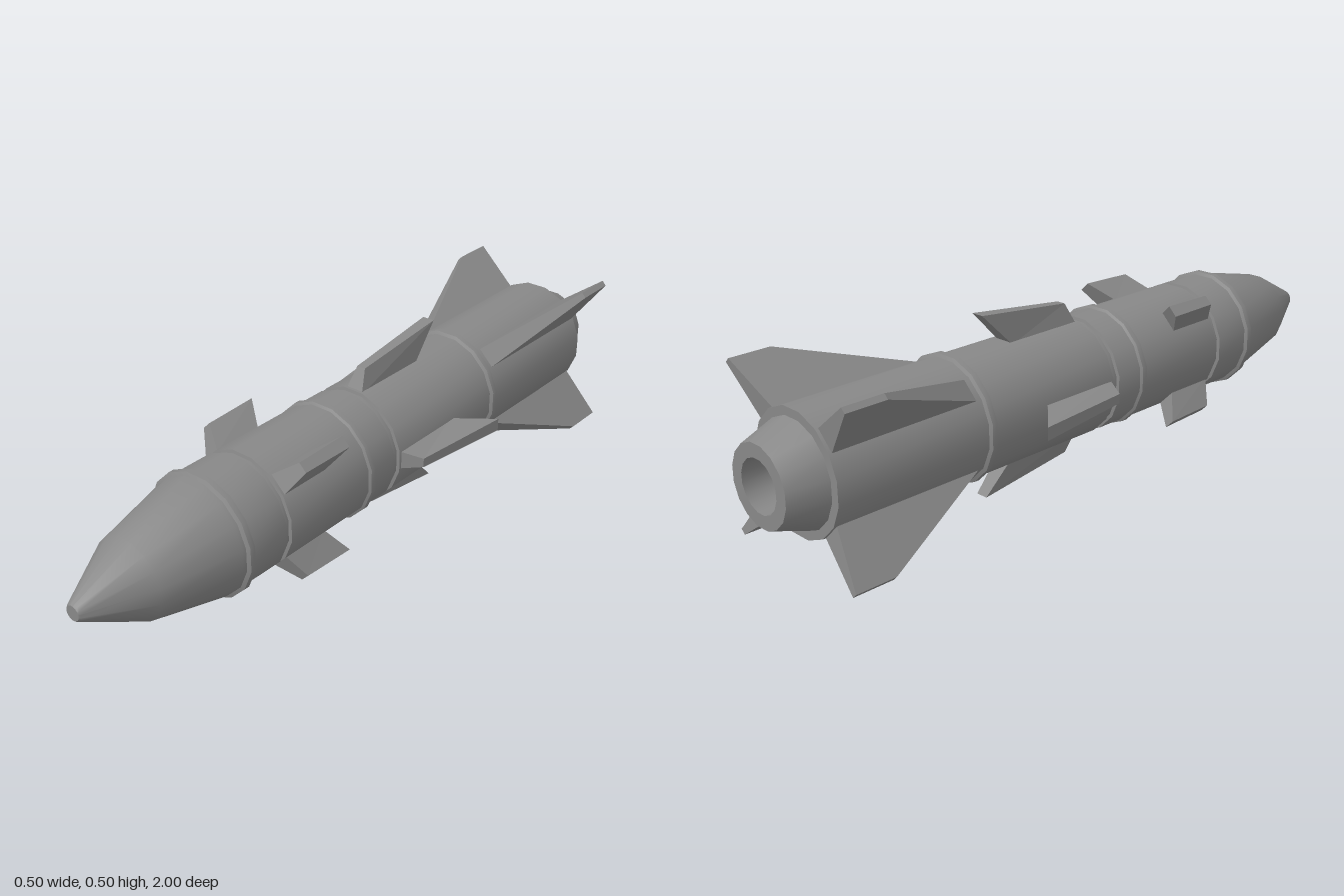
import * as THREE from 'three';
import { toCreasedNormals } from 'three/addons/utils/BufferGeometryUtils.js';

const SIDES = 16;
const AXIS_Y = 0.2525;
const BODY_R = 0.165;

export function createModel() {
  const model = new THREE.Group();
  model.name = 'missile';
  const grey = new THREE.MeshStandardMaterial({ color: 0x888888 });
  grey.name = 'body grey';

  const add = (name, geometry, angle = 0) => {
    const mesh = new THREE.Mesh(geometry, grey);
    mesh.name = name;
    mesh.position.y = AXIS_Y;
    mesh.rotation.z = angle;
    model.add(mesh);
  };

  // Turned part along z, with a flat facet on top; profile is [radius, z] from rear to front
  const turned = (name, profile) => {
    const points = profile.map(([r, z]) => new THREE.Vector2(r, z));
    const geometry = new THREE.LatheGeometry(points, SIDES, Math.PI / SIDES);
    geometry.rotateX(Math.PI / 2);
    add(name, toCreasedNormals(geometry, 0.47));
  };

  // Nozzle with recessed bore
  turned('nozzle', [
    [0, -0.9], [0.066, -0.9], [0.07, -1], [0.107, -1], [0.143, -0.895],
  ]);

  // Main tube, narrowed at two joints
  turned('bodyTube', [
    [0, -0.9], [BODY_R, -0.9], [BODY_R, 0.005], [0.156, 0.007],
    [0.156, 0.026], [BODY_R, 0.028], [BODY_R, 0.438], [0.156, 0.44],
    [0.156, 0.455], [BODY_R, 0.457], [BODY_R, 0.59],
  ]);

  // Nose cone with a small flat tip
  turned('noseCone', [
    [BODY_R, 0.59], [0.163, 0.61], [0.113, 0.83], [0.025, 0.995], [0.021, 1], [0, 1],
  ]);

  // Raised bevelled bands
  for (const [name, z, r] of [
    ['noseBand', 0.586, 0.174], ['middleBand', 0.124, 0.172], ['rearBand', -0.431, 0.174],
  ]) {
    turned(name, [
      [BODY_R - 0.003, z - 0.014], [r, z - 0.008], [r, z + 0.008], [BODY_R - 0.003, z + 0.014],
    ]);
  }

  // Tapered fin: four stations as [z, radius, half thickness]
  const finGeometry = (rootFront, rootRear, tipFront, tipRear) => {
    const stations = [rootFront, rootRear, tipRear, tipFront];
    const corner = (i, side) => {
      const [z, r, half] = stations[i % 4];
      return [side * half, r, z];
    };
    const vertices = [];
    const quad = (a, b, c, d) => vertices.push(...a, ...b, ...c, ...a, ...c, ...d);
    quad(...[0, 1, 2, 3].map((i) => corner(i, 1)));
    quad(...[3, 2, 1, 0].map((i) => corner(i, -1)));
    for (let i = 0; i < 4; i++) {
      quad(corner(i, 1), corner(i, -1), corner(i + 1, -1), corner(i + 1, 1));
    }
    const geometry = new THREE.BufferGeometry();
    geometry.setAttribute('position', new THREE.Float32BufferAttribute(vertices, 3));
    geometry.computeVertexNormals();
    return geometry;
  };

  const canard = finGeometry(
    [0.435, 0.155, 0.031], [0.285, 0.155, 0.031], [0.395, 0.232, 0.015], [0.235, 0.237, 0.017]);
  const middleFin = finGeometry(
    [0, 0.155, 0.027], [-0.235, 0.155, 0.027], [-0.03, 0.217, 0.013], [-0.33, 0.2525, 0.018]);
  const tailFin = finGeometry(
    [-0.445, 0.155, 0.032], [-0.89, 0.155, 0.034], [-0.8, 0.319, 0.0085], [-0.917, 0.319, 0.0085]);

  // Four of each: middle fins upright and level, the others on the diagonals
  for (let i = 0; i < 4; i++) {
    const angle = (i * Math.PI) / 2;
    add('middleFin', middleFin, angle);
    add('canard', canard, angle + Math.PI / 4);
    add('tailFin', tailFin, angle + Math.PI / 4);
  }

  return model;
}
